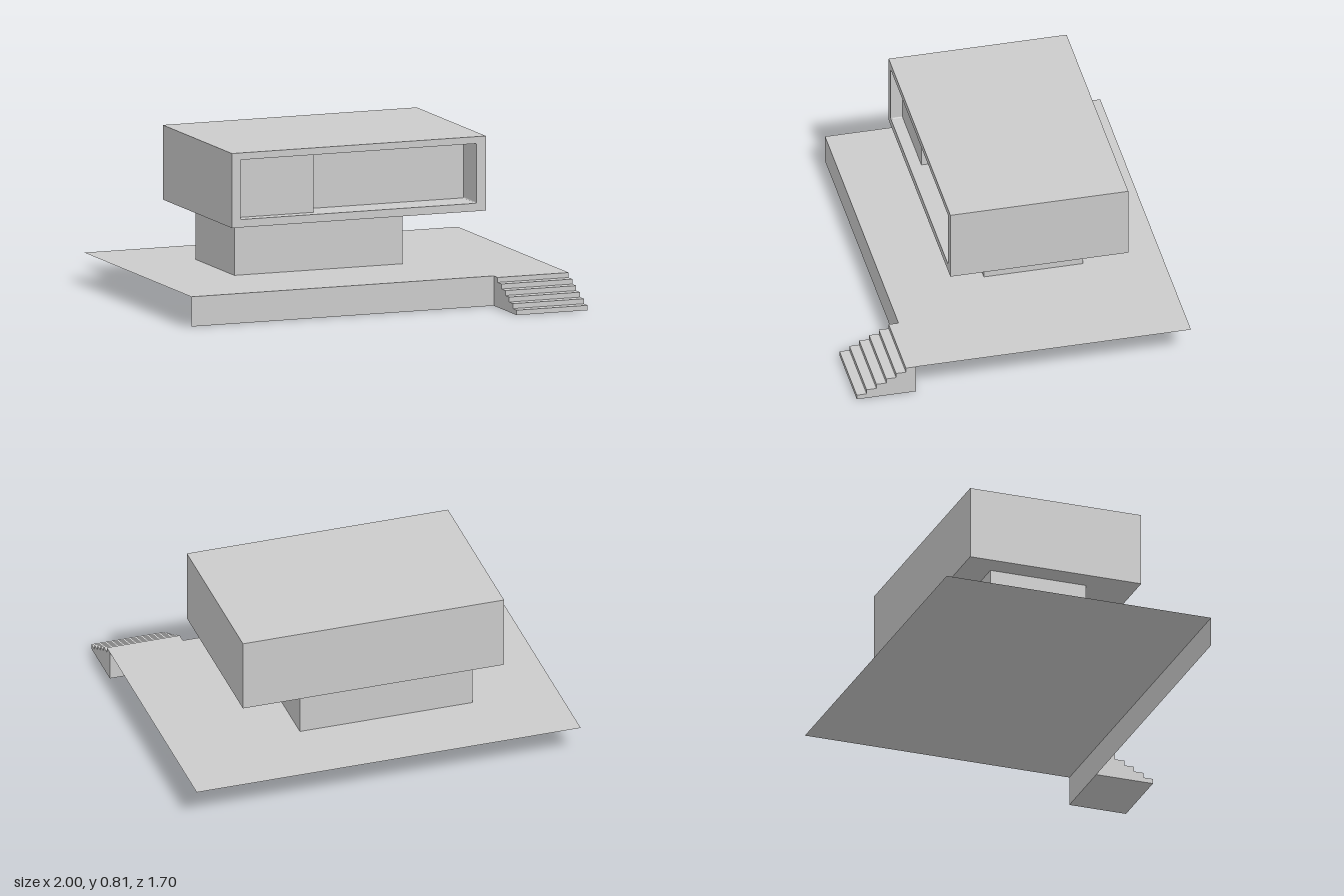
import * as THREE from 'three';

export function createModel() {
  const model = new THREE.Group();
  const solid = new THREE.MeshStandardMaterial({ color: 0xcccccc, flatShading: true });
  const sheet = new THREE.MeshStandardMaterial({ color: 0xcccccc, side: THREE.DoubleSide });

  const add = (name, geometry, material = solid) => {
    const mesh = new THREE.Mesh(geometry, material);
    mesh.name = name;
    model.add(mesh);
    return mesh;
  };
  // Box given by its lower and upper corners
  const block = (name, [x0, y0, z0], [x1, y1, z1]) =>
    add(name, new THREE.BoxGeometry(x1 - x0, y1 - y0, z1 - z0)
      .translate((x0 + x1) / 2, (y0 + y1) / 2, (z0 + z1) / 2));

  const deckY = 0.15, deckFront = 0.55, stairX = 0.62;

  // Thin terrace sheet with a riser along its front edge
  add('terrace', new THREE.PlaneGeometry(2, 1.4).rotateX(-Math.PI / 2)
    .translate(0, deckY, -0.15), sheet);
  add('terraceRiser', new THREE.PlaneGeometry(1 + stairX, deckY)
    .translate((stairX - 1) / 2, deckY / 2, deckFront), sheet);

  // Stairs: stepped side profile extruded across their width
  const steps = 6, rise = deckY / steps, tread = 0.05;
  const profile = new THREE.Shape();
  profile.moveTo(deckFront, 0);
  profile.lineTo(deckFront + steps * tread, 0);
  for (let i = 1; i <= steps; i++) {
    const z = deckFront + (steps - i) * tread;
    profile.lineTo(z + tread, i * rise);
    profile.lineTo(z, i * rise);
  }
  profile.closePath();
  add('stairs', new THREE.ExtrudeGeometry(profile, { depth: 1 - stairX, bevelEnabled: false })
    .rotateY(-Math.PI / 2).translate(1, 0, 0));

  // Lower storey
  block('lowerStorey', [-0.565, deckY, -0.455], [0.335, 0.435, 0.05]);

  // Upper storey: closed body with a window frame in front
  const wallZ = 0.13, frontZ = 0.3, bottom = 0.435, top = 0.81, half = 0.68;
  block('upperStorey', [-half, bottom, -0.605], [half, top, wallZ]);

  const frame = new THREE.Shape();
  frame.moveTo(-half, bottom);
  frame.lineTo(half, bottom);
  frame.lineTo(half, top);
  frame.lineTo(-half, top);
  frame.closePath();

  // Opening with slightly rounded corners
  const x0 = -0.635, x1 = 0.63, y0 = 0.475, y1 = 0.775, r = 0.006;
  const opening = new THREE.Path();
  opening.absarc(x0 + r, y0 + r, r, Math.PI, 1.5 * Math.PI);
  opening.absarc(x1 - r, y0 + r, r, 1.5 * Math.PI, 2 * Math.PI);
  opening.absarc(x1 - r, y1 - r, r, 0, 0.5 * Math.PI);
  opening.absarc(x0 + r, y1 - r, r, 0.5 * Math.PI, Math.PI);
  opening.closePath();
  frame.holes.push(opening);
  add('windowFrame', new THREE.ExtrudeGeometry(frame,
    { depth: frontZ - wallZ, bevelEnabled: false, curveSegments: 3 }).translate(0, 0, wallZ));

  // Shallower wall panel on one side of the opening
  block('wallPanel', [x0 - 0.005, y0 - 0.005, wallZ - 0.01], [-0.22, y1 + 0.005, 0.24]);

  return model;
}
